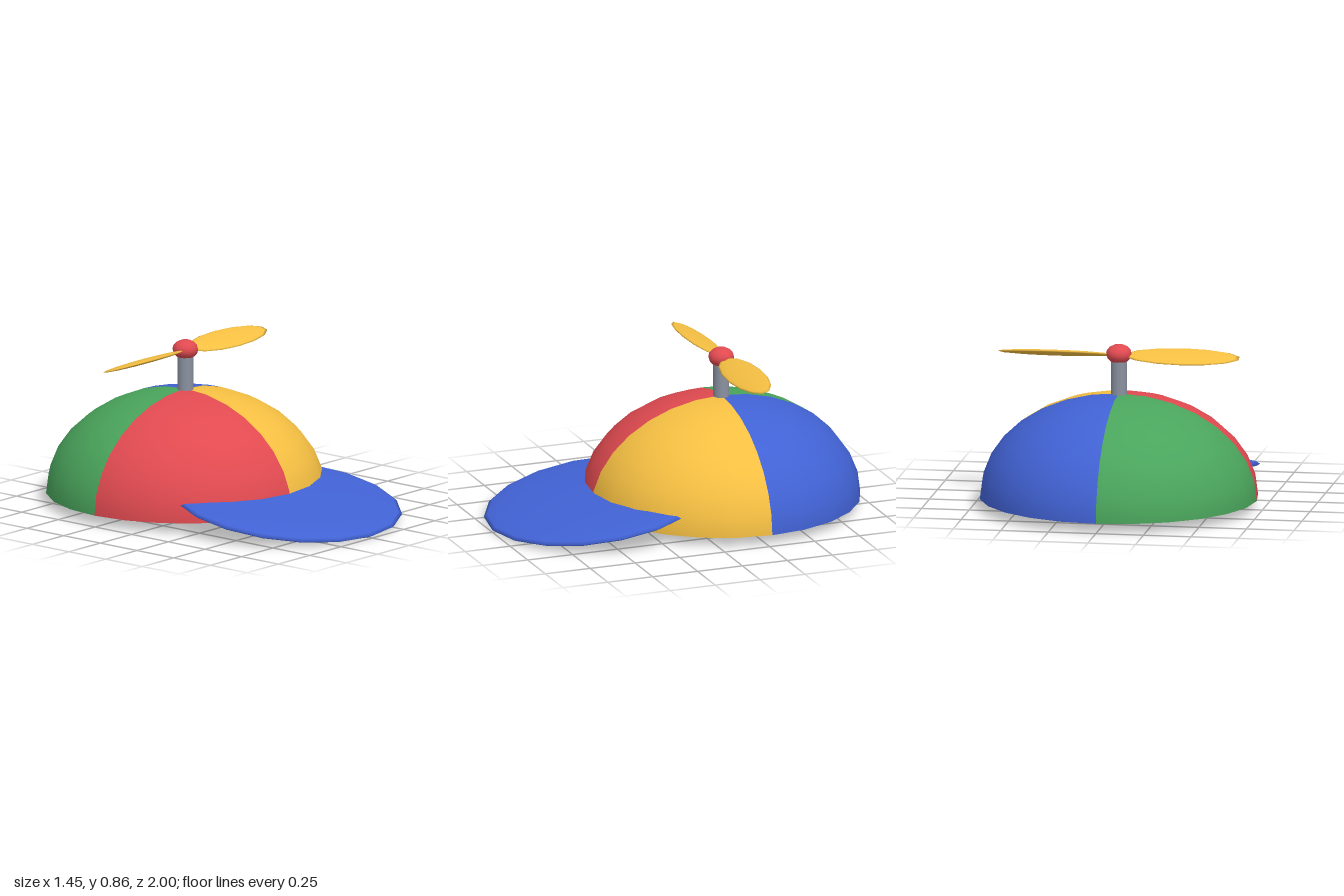
import * as THREE from 'three';

const RED = 0xe04a50, YELLOW = 0xf5bf42, GREEN = 0x4aa55c, BLUE = 0x4162d4, GREY = 0x8a92a0;
const DOME = { r: 0.725, h: 0.545, y: 0.055, z: -0.275 };

function addMesh(parent, name, geometry, color, side = THREE.FrontSide) {
  const mesh = new THREE.Mesh(geometry, new THREE.MeshStandardMaterial({ color, side }));
  mesh.name = name;
  parent.add(mesh);
  return mesh;
}

// Flattened sphere with a vertex, not an edge, on its front
function ellipsoid(rx, ry, rz, segments, rings) {
  return new THREE.SphereGeometry(1, segments, rings).rotateY(Math.PI / 2).scale(rx, ry, rz);
}

// Drop the grid cells that lie wholly inside the dome
function trimInsideDome(geometry, segments, rings) {
  const p = geometry.attributes.position;
  const inside = (i) => Math.hypot(
    p.getX(i) / DOME.r,
    (p.getY(i) - DOME.y) / DOME.h,
    (p.getZ(i) - DOME.z) / DOME.r) < 0.98;
  const index = [];
  for (let r = 0; r < rings; r++) {
    for (let s = 0; s < segments; s++) {
      const a = r * (segments + 1) + s, b = a + 1;
      const c = a + segments + 1, d = c + 1;
      if ([a, b, c, d].every(inside)) continue;
      if (r > 0) index.push(b, a, d);
      if (r < rings - 1) index.push(a, c, d);
    }
  }
  geometry.setIndex(index);
  return geometry;
}

export function createModel() {
  const cap = new THREE.Group();
  cap.name = 'propellerCap';

  // Crown: four coloured quarter panels, open below
  const crown = new THREE.Group();
  crown.name = 'crown';
  crown.position.set(0, DOME.y, DOME.z);
  crown.scale.set(1, DOME.h / DOME.r, 1);
  cap.add(crown);
  const panels = [['frontRight', RED], ['frontLeft', YELLOW], ['backLeft', BLUE], ['backRight', GREEN]];
  panels.forEach(([name, color], i) => {
    const panel = new THREE.SphereGeometry(DOME.r, 6, 8, i * Math.PI / 2, Math.PI / 2, 0, Math.PI / 2);
    addMesh(crown, name + 'Panel', panel, color, THREE.DoubleSide);
  });

  // Brim: thin tilted ellipsoid, cut away inside the crown
  const brim = ellipsoid(0.62, 0.047, 0.592, 18, 12);
  brim.rotateX(0.158).translate(0, 0.107, 0.415);
  addMesh(cap, 'brim', trimInsideDome(brim, 18, 12), BLUE, THREE.DoubleSide);

  // Propeller: post, hub and two blades with opposite pitch
  const propeller = new THREE.Group();
  propeller.name = 'propeller';
  propeller.position.set(0, 0.805, DOME.z);
  cap.add(propeller);
  addMesh(propeller, 'post', new THREE.CylinderGeometry(0.042, 0.042, 0.22, 12), GREY).position.y = -0.11;
  addMesh(propeller, 'hub', ellipsoid(0.068, 0.051, 0.068, 12, 8), RED).position.y = 0.005;
  for (const side of [1, -1]) {
    const name = side > 0 ? 'leftBlade' : 'rightBlade';
    const blade = addMesh(propeller, name, ellipsoid(0.306, 0.013, 0.09, 14, 8), YELLOW);
    blade.position.x = side * 0.333;
    blade.rotation.x = side * 0.3;
  }
  return cap;
}
